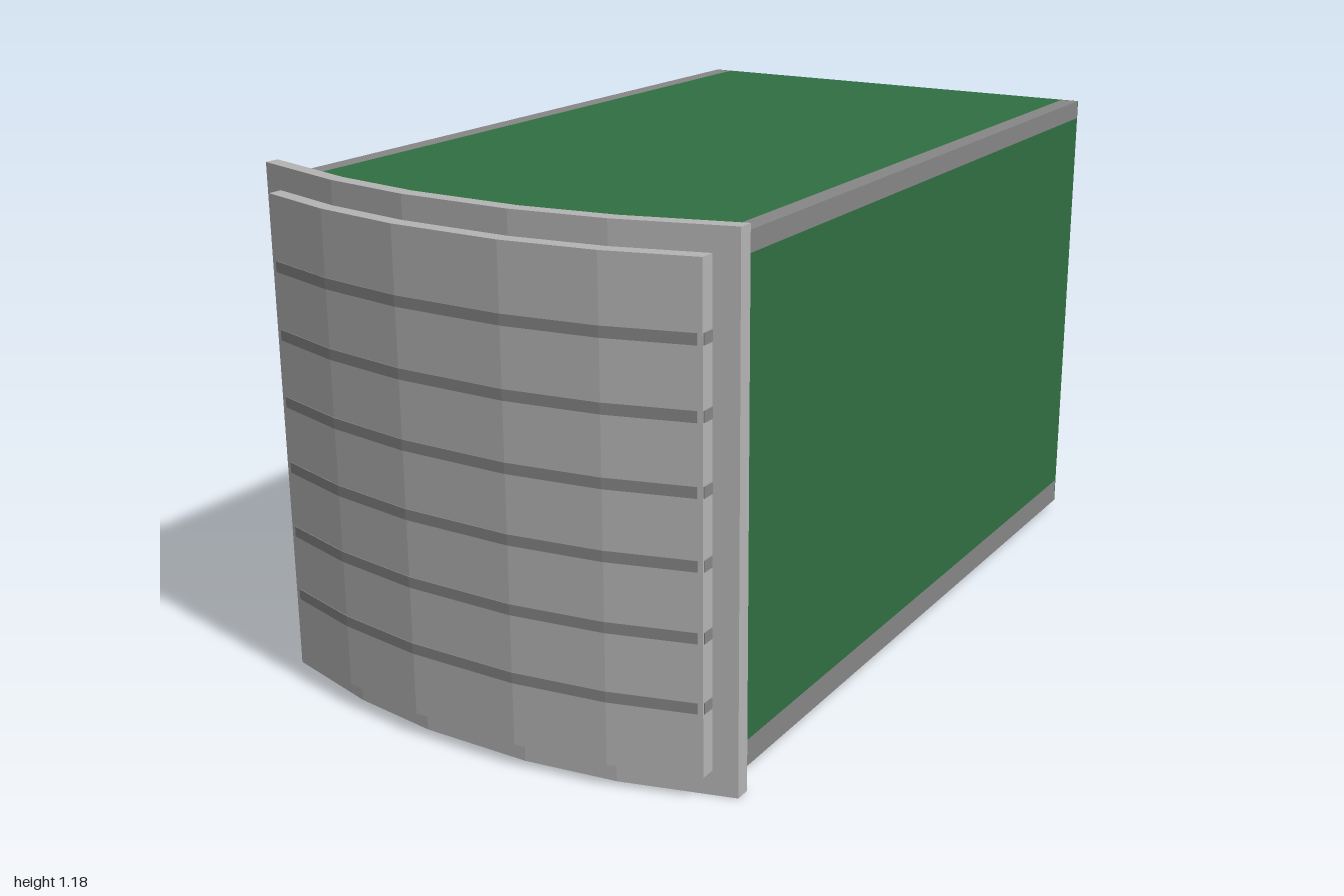
import * as THREE from 'three';

export function createModel() {
  const model = new THREE.Group();
  const mat = (name, color, extra = {}) => {
    const m = new THREE.MeshStandardMaterial({ color, ...extra });
    m.name = name;
    return m;
  };
  const green = mat('green', 0x2f6f43);
  const grey = mat('mid grey', 0x868686);
  const light = mat('light grey', 0xb4b4b4);
  const brown = mat('brown', 0x60402f);

  const add = (name, geometry, material) => {
    const mesh = new THREE.Mesh(geometry, material);
    mesh.name = name;
    model.add(mesh);
    return mesh;
  };
  const box = (name, x0, x1, y0, y1, z0, z1, material) => {
    const g = new THREE.BoxGeometry(x1 - x0, y1 - y0, z1 - z0);
    g.translate((x0 + x1) / 2, (y0 + y1) / 2, (z0 + z1) / 2);
    return add(name, g, material);
  };

  // Faceted bow shared by every curved front part: depth z at half width x
  const bow = [[0, 1], [0.13, 1], [0.34, 0.97], [0.587, 0.9]];
  const bowZ = (x) => {
    const a = Math.abs(x);
    const i = a < 0.13 ? 0 : a < 0.34 ? 1 : 2;
    const [xa, za] = bow[i], [xb, zb] = bow[i + 1];
    return za + ((a - xa) / (xb - xa)) * (zb - za);
  };
  const bowLine = (w, offset) =>
    [-w, -0.34, -0.13, 0.13, 0.34, w].map((x) => new THREE.Vector2(x, -(bowZ(x) + offset)));

  // Plan outline (x, -z) raised from y0 to y1
  const raise = (points, y0, y1) => {
    const g = new THREE.ExtrudeGeometry(new THREE.Shape(points), { depth: y1 - y0, bevelEnabled: false });
    g.rotateX(-Math.PI / 2);
    g.translate(0, y0, 0);
    return g;
  };
  const bowed = (w, front, back, y0, y1) =>
    raise([...bowLine(w, front), ...bowLine(w, back).reverse()], y0, y1);

  // Body: full-height core, side walls and four corner rails
  const back = -0.957;
  add('bodyCore', raise([...bowLine(0.51, -0.065),
    new THREE.Vector2(0.51, -back), new THREE.Vector2(-0.51, -back)], 0.02, 1.15), green);
  for (const s of [-1, 1]) {
    const [x0, x1] = s > 0 ? [0.51, 0.555] : [-0.555, -0.51];
    box('sideWall', x0, x1, 0.08, 1.105, back, 0.842, green);
    box('lowerRail', x0, x1, 0.02, 0.08, back, 0.842, grey);
    box('upperRail', x0, x1, 1.105, 1.15, back, 0.842, grey);
  }
  box('backPanel', -0.555, 0.555, 0.02, 1.15, back - 0.003, back, green);

  // Bowed front: frame, raised panel and six grooves that wrap its sides
  add('frontFrame', bowed(0.587, -0.035, -0.07, 0, 1.178), light);
  add('frontPanel', bowed(0.535, 0, -0.05, 0.055, 1.125), light);
  for (let i = 0; i < 6; i++) {
    const y = 0.208 + i * 0.152;
    add('groove', bowed(0.525, 0.002, -0.003, y - 0.012, y + 0.012), grey);
    for (const s of [-1, 1]) {
      box('grooveEnd', s * 0.535 - 0.002, s * 0.535 + 0.002, y - 0.012, y + 0.012, 0.882, 0.912, grey);
    }
  }

  // Back posts: tapered blocks in two layers, ends green near the body
  const taper = (t) => ({ w: 0.066 - 0.012 * t, y0: 0.022 + 0.04 * t, y1: 1.148 - 0.04 * t, z: -0.958 - 0.042 * t });
  const postLayer = (cx, t0, t1, sideMat, endMat, name) => {
    const g = new THREE.BoxGeometry(1, 1, 1);
    const p = g.attributes.position;
    for (let i = 0; i < p.count; i++) {
      const l = taper(p.getZ(i) < 0 ? t1 : t0);
      p.setXYZ(i, cx + Math.sign(p.getX(i)) * l.w, p.getY(i) > 0 ? l.y1 : l.y0, l.z);
    }
    g.computeVertexNormals();
    add(name, g, [sideMat, sideMat, endMat, endMat, sideMat, sideMat]);
  };
  for (const [cx, m, name] of [[0.44, brown, 'leftPost'], [-0.45, grey, 'rightPost']]) {
    postLayer(cx, 0, 0.55, m, green, name + 'Base');
    postLayer(cx, 0.55, 1, m, m, name + 'Face');
  }

  // Underside: painted loop with pads, and its return on the back face
  const loop = new THREE.Shape();
  const rounded = (path, x, z0, z1, r) => {
    path.moveTo(-x, z0);
    path.lineTo(x, z0);
    path.lineTo(x, z1 - r);
    path.quadraticCurveTo(x, z1, x - r, z1);
    path.lineTo(-x + r, z1);
    path.quadraticCurveTo(-x, z1, -x, z1 - r);
    path.closePath();
    return path;
  };
  rounded(loop, 0.32, -0.958, 0.74, 0.07);
  loop.holes.push(rounded(new THREE.Path(), 0.285, -0.925, 0.7, 0.05));
  const loopGeo = new THREE.ShapeGeometry(loop);
  loopGeo.rotateX(Math.PI / 2);
  loopGeo.translate(0, 0.017, 0);
  add('undersideLoop', loopGeo, grey);
  const pads = [[0.295, -0.09, 0.055, 0.11], [-0.3, 0.49, 0.035, 0.07], [-0.31, 0, 0.035, 0.07],
    [-0.3, -0.32, 0.03, 0.06], [-0.285, -0.89, 0.04, 0.06]];
  for (const [x, z, rx, rz] of pads) {
    const g = new THREE.CircleGeometry(1, 8);
    g.rotateX(Math.PI / 2);
    g.scale(rx, 1, rz);
    g.translate(x, 0.0165, z);
    add('undersidePad', g, grey);
  }
  box('backLowerStrip', -0.31, 0.31, 0.02, 0.045, -0.963, -0.96, grey);

  return model;
}
